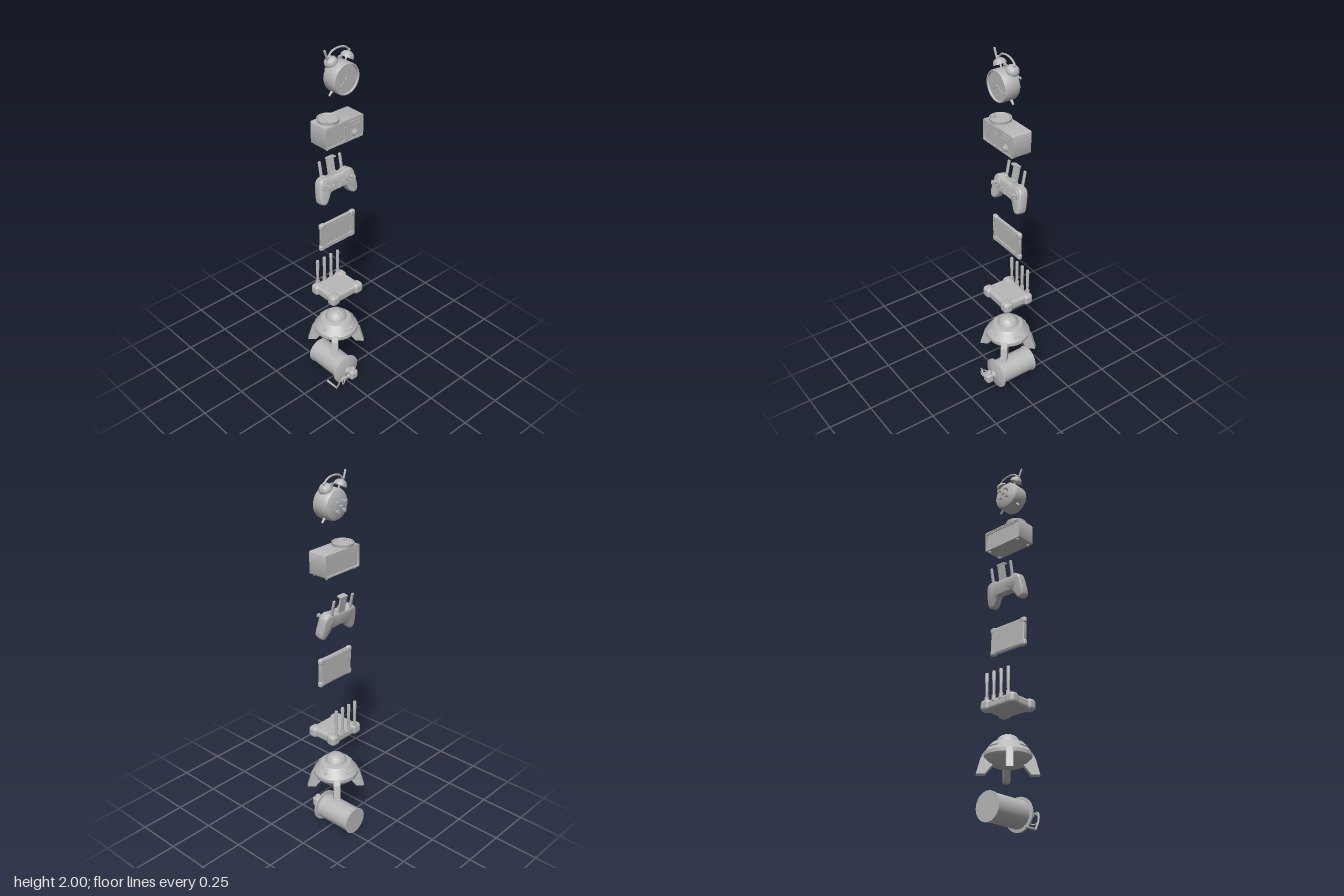
import * as THREE from 'three';
import { toCreasedNormals } from 'three/addons/utils/BufferGeometryUtils.js';
import { RoundedBoxGeometry } from 'three/addons/geometries/RoundedBoxGeometry.js';

const grey = new THREE.MeshStandardMaterial({ color: 0xb8b8b8 });
grey.name = 'plain grey';

const V = (x, y, z) => new THREE.Vector3(x, y, z);

function add(parent, name, geo, pos = [0, 0, 0], rot = [0, 0, 0]) {
  const mesh = new THREE.Mesh(geo, grey);
  mesh.name = name;
  mesh.position.set(...pos);
  mesh.rotation.set(...rot);
  parent.add(mesh);
  return mesh;
}
function group(parent, name, x, y, z) {
  const g = new THREE.Group();
  g.name = name;
  g.position.set(x, y, z);
  parent.add(g);
  return g;
}
const box = (w, h, d) => new THREE.BoxGeometry(w, h, d);
const soft = (w, h, d, r) => new RoundedBoxGeometry(w, h, d, 3, r);
const cyl = (r1, r2, h, n = 20) => new THREE.CylinderGeometry(r1, r2, h, n);
const cylZ = (r1, r2, h, n = 32) => cyl(r1, r2, h, n).rotateX(Math.PI / 2);
const lathe = (pts, n = 40, crease = 0.5) => toCreasedNormals(
  new THREE.LatheGeometry(pts.map(p => new THREE.Vector2(...p)), n), crease);
const tube = (pts, r, n = 24) => new THREE.TubeGeometry(
  new THREE.CatmullRomCurve3(pts.map(p => V(...p))), n, r, 8);
// Straight round bar between two points
function bar(parent, name, a, b, r1, r2 = r1) {
  const p = V(...a), q = V(...b), d = q.clone().sub(p);
  const m = add(parent, name, cyl(r2, r1, d.length(), 12), p.clone().add(q).multiplyScalar(0.5).toArray());
  m.quaternion.setFromUnitVectors(V(0, 1, 0), d.normalize());
}
function roundRect(w, h, r, Type = THREE.Shape) {
  const s = new Type(), x = w / 2 - r, y = h / 2 - r;
  s.absarc(x, y, r, 0, Math.PI / 2);
  s.absarc(-x, y, r, Math.PI / 2, Math.PI);
  s.absarc(-x, -y, r, Math.PI, Math.PI * 1.5);
  s.absarc(x, -y, r, Math.PI * 1.5, Math.PI * 2);
  s.closePath();
  return s;
}
// Rectangular frame with an open middle
function frame(w, h, wall, depth, r = 0.006) {
  const s = roundRect(w, h, r);
  s.holes.push(roundRect(w - 2 * wall, h - 2 * wall, r, THREE.Path));
  return toCreasedNormals(new THREE.ExtrudeGeometry(s, { depth, bevelEnabled: false, curveSegments: 4 }), 0.6);
}

function canister(root) {
  const g = group(root, 'canister', -0.004, 0.087, 0);
  add(g, 'tank', lathe([[0, -0.15], [0.074, -0.15], [0.074, -0.143], [0.07, -0.14], [0.07, 0.066],
    [0.086, 0.068], [0.086, 0.076], [0.076, 0.08], [0.05, 0.086], [0.022, 0.092], [0.018, 0.098], [0, 0.098]])
    .rotateX(Math.PI / 2));
  add(g, 'neck', cylZ(0.018, 0.022, 0.02), [0, 0, 0.1]);
  add(g, 'valveHead', soft(0.05, 0.056, 0.044, 0.012), [0.003, 0, 0.126]);
  add(g, 'valveCap', cyl(0.014, 0.018, 0.012), [0.003, 0.033, 0.126]);
  add(g, 'lever', box(0.034, 0.012, 0.006), [0, 0.012, 0.15]);
  add(g, 'outlet', cyl(0.008, 0.01, 0.02).rotateZ(Math.PI / 2), [-0.03, 0, 0.125]);
  add(g, 'hose', tube([[-0.028, 0, 0.14], [-0.055, 0.012, 0.133], [-0.08, -0.002, 0.12],
    [-0.086, -0.04, 0.11], [-0.085, -0.079, 0.09]], 0.005));
  add(g, 'pinRing', new THREE.TorusGeometry(0.026, 0.003, 8, 24), [-0.052, -0.022, 0.115], [0, 0.5, 0]);
  bar(g, 'nozzle', [-0.085, -0.079, 0.095], [-0.085, -0.079, 0.015], 0.005, 0.007);
}

function saucer(root) {
  const g = group(root, 'saucer', -0.004, 0, -0.008);
  add(g, 'hull', lathe([[0, 0.3], [0.06, 0.305], [0.09, 0.318], [0.112, 0.338], [0.12, 0.35], [0.12, 0.368],
    [0.112, 0.378], [0.095, 0.402], [0.082, 0.418], [0.06, 0.424], [0, 0.424]], 32, 0.45));
  add(g, 'dome', lathe([[0.06, 0.418], [0.058, 0.426], [0.053, 0.44], [0.041, 0.454], [0.024, 0.463], [0, 0.466]], 32, 1.2));
  // Four flat legs splayed along the diagonals
  const leg = new THREE.Shape([[0.085, 0.37], [0.075, 0.31], [0.112, 0.264], [0.153, 0.264], [0.132, 0.34], [0.116, 0.37]]
    .map(p => new THREE.Vector2(...p)));
  const legGeo = new THREE.ExtrudeGeometry(leg, { depth: 0.03, bevelEnabled: true, bevelSize: 0.002, bevelThickness: 0.003, bevelSegments: 1 });
  legGeo.translate(0, 0, -0.015);
  for (let i = 0; i < 4; i++) {
    const a = Math.PI / 4 + i * Math.PI / 2;
    add(g, 'leg', legGeo, [0, 0, 0], [0, a, 0]);
    const p = group(g, 'hatch', 0, 0, 0);
    p.rotation.y = i * Math.PI / 2;
    add(p, 'hatchPlate', box(0.05, 0.012, 0.008), [0, 0.392, 0.099], [-0.95, 0, 0]);
  }
}

function router(root) {
  const g = group(root, 'router', 0, 0.619, -0.003);
  add(g, 'case', soft(0.2, 0.054, 0.165, 0.018));
  for (const x of [-1, 1]) for (const z of [-1, 1])
    add(g, 'cornerPad', soft(0.06, 0.062, 0.055, 0.02), [x * 0.081, 0, z * 0.064]);
  for (let i = 0; i < 4; i++) {
    const x = -0.07 + i * 0.0475;
    add(g, 'antennaHinge', cyl(0.011, 0.012, 0.03), [x, 0.026, -0.077]);
    add(g, 'antenna', lathe([[0.007, 0], [0.0095, 0.135], [0.008, 0.142], [0, 0.144]], 14, 0.6), [x, 0.028, -0.077]);
  }
}

function tablet(root) {
  const g = group(root, 'tablet', -0.002, 0.995, -0.002);
  add(g, 'backShell', soft(0.222, 0.142, 0.014, 0.006), [0, 0, -0.004]);
  add(g, 'bezel', frame(0.226, 0.146, 0.02, 0.018), [0, 0, -0.008]);
  add(g, 'screenRim', frame(0.192, 0.112, 0.006, 0.004), [0, 0, 0.008]);
  for (const x of [-1, 1]) for (const y of [-1, 1])
    add(g, 'cornerBumper', soft(0.036, 0.034, 0.025, 0.011), [x * 0.102, y * 0.063, 0]);
  add(g, 'homeButton', box(0.006, 0.03, 0.003), [0.102, 0, 0.01]);
}

function controller(root) {
  const g = group(root, 'controller', 0, 1.258, -0.014);
  g.rotation.x = -0.2;
  // Mirrored outline of the two-grip body
  const half = [[0.045, 0.052], [0.08, 0.058], [0.1, 0.045], [0.108, 0.01], [0.113, -0.04],
    [0.107, -0.058], [0.092, -0.06], [0.076, -0.042], [0.058, -0.014], [0.03, -0.008]];
  const pts = [...half, ...half.map(([x, y]) => [-x, y]).reverse()].map(p => new THREE.Vector2(...p));
  const shape = new THREE.Shape(new THREE.SplineCurve([...pts, pts[0]]).getPoints(80).slice(0, 80));
  const body = new THREE.ExtrudeGeometry(shape, { depth: 0.024, bevelSize: 0.01, bevelThickness: 0.014, bevelSegments: 5 });
  add(g, 'body', toCreasedNormals(body.translate(0, 0, -0.012), 0.7));
  for (const s of [-1, 1]) {
    add(g, 'stickBase', cylZ(0.023, 0.025, 0.008), [s * 0.076, 0.026, 0.028]);
    add(g, 'stick', cylZ(0.006, 0.008, 0.025, 14), [s * 0.076, 0.026, 0.04]);
    add(g, 'stickCap', cylZ(0.012, 0.011, 0.007), [s * 0.076, 0.026, 0.055]);
    add(g, 'smallButton', cylZ(0.008, 0.009, 0.008, 20), [s * 0.034, 0.014, 0.028]);
    add(g, 'trigger', soft(0.04, 0.02, 0.02, 0.007), [s * 0.07, 0.06, -0.01]);
    add(g, 'antenna', soft(0.017, 0.09, 0.011, 0.005), [s * 0.067, 0.1, -0.018]);
  }
  add(g, 'padAcross', box(0.022, 0.007, 0.007), [0, 0.002, 0.028]);
  add(g, 'padUpright', box(0.007, 0.022, 0.007), [0, 0.002, 0.028]);
  // Folding device holder
  add(g, 'holderPlate', box(0.044, 0.105, 0.01), [0, 0.095, -0.018]);
  add(g, 'holderTopLip', box(0.048, 0.008, 0.028), [0, 0.146, -0.01]);
  add(g, 'holderLowerLip', box(0.048, 0.012, 0.02), [0, 0.062, -0.004]);
}

function oven(root) {
  const g = group(root, 'oven', -0.002, 1.58, 0);
  add(g, 'caseFrame', frame(0.24, 0.116, 0.007, 0.11), [0, 0, -0.055]);
  add(g, 'caseCore', box(0.232, 0.108, 0.095), [0, 0, 0.002]);
  add(g, 'doorFrame', frame(0.122, 0.11, 0.008, 0.008), [-0.058, 0, 0.05]);
  add(g, 'doorPane', box(0.108, 0.096, 0.006), [-0.058, 0, 0.05]);
  add(g, 'controlPanel', frame(0.112, 0.11, 0.006, 0.006), [0.062, 0, 0.05]);
  add(g, 'panelFace', box(0.102, 0.1, 0.006), [0.062, 0, 0.05]);
  add(g, 'display', frame(0.066, 0.024, 0.004, 0.005), [0.064, 0.03, 0.052]);
  add(g, 'knobRing', cylZ(0.019, 0.02, 0.004), [0.064, -0.024, 0.055]);
  add(g, 'knob', cylZ(0.013, 0.015, 0.014), [0.064, -0.024, 0.062]);
  add(g, 'knobGrip', box(0.005, 0.026, 0.006), [0.064, -0.024, 0.068]);
  add(g, 'doorHandle', soft(0.006, 0.06, 0.008, 0.002), [-0.006, 0, 0.061]);
  add(g, 'hotplate', lathe([[0, 0], [0.054, 0], [0.056, 0.016], [0.051, 0.016], [0.048, 0.008], [0, 0.008]]), [-0.056, 0.057, -0.002]);
  add(g, 'plateHandle', box(0.022, 0.008, 0.014), [-0.092, 0.07, 0.018], [0, 0.6, 0]);
  for (let i = 0; i < 16; i++) add(g, 'backVent', box(0.008, 0.008, 0.007), [-0.105 + i * 0.014, 0.047, -0.049]);
  for (const x of [-0.1, 0.1]) for (const z of [-0.04, 0.04])
    add(g, 'foot', cyl(0.009, 0.007, 0.01, 16), [x, -0.062, z]);
}

function alarmClock(root) {
  const g = group(root, 'alarmClock', 0.002, 1.852, 0);
  add(g, 'case', lathe([[0, -0.03], [0.055, -0.028], [0.072, -0.02], [0.079, -0.008], [0.079, 0.06], [0.076, 0.065],
    [0.071, 0.065], [0.069, 0.056], [0, 0.056]], 40, 0.6).rotateX(Math.PI / 2));
  // Three hands around a hub
  [[0, 0.06], [2.18, 0.05], [-2.0, 0.056]].forEach(([a, l]) =>
    add(g, 'hand', box(0.005, l, 0.003).translate(0, l / 2, 0), [0, 0, 0.059], [0, 0, a]));
  add(g, 'hub', cylZ(0.007, 0.007, 0.008, 16), [0, 0, 0.06]);
  for (const s of [-1, 1]) {
    bar(g, 'leg', [s * 0.045, -0.055, 0.015], [s * 0.068, -0.079, 0.015], 0.008, 0.005);
    bar(g, 'bellPost', [s * 0.038, 0.065, 0.008], [s * 0.053, 0.092, 0.008], 0.005);
    add(g, 'bell', lathe([[0, 0], [0.033, 0], [0.033, 0.006], [0.03, 0.016], [0.021, 0.026], [0.01, 0.031], [0, 0.032]], 28, 0.8),
      [s * 0.048, 0.078, 0.008], [0, 0, -s * 0.5]);
    add(g, 'bellKnob', new THREE.SphereGeometry(0.007, 14, 10), [s * 0.064, 0.11, 0.006]);
  }
  add(g, 'handle', tube([[-0.062, 0.108, 0.004], [-0.046, 0.127, 0.004], [-0.018, 0.137, 0.004], [0.018, 0.137, 0.004],
    [0.046, 0.127, 0.004], [0.066, 0.108, 0.004]], 0.005));
  bar(g, 'hammerRod', [0, 0.07, 0.012], [0, 0.095, 0.012], 0.003);
  add(g, 'hammer', box(0.022, 0.01, 0.01), [0.002, 0.095, 0.013]);
  bar(g, 'aerial', [-0.062, 0.07, 0.008], [-0.09, 0.147, 0.01], 0.004, 0.006);
  // Winding keys and setting knobs on the back
  [[-0.022, 0.022], [0.022, 0.022], [-0.022, -0.022], [0.022, -0.022], [0, 0]].forEach(([x, y], i) => {
    add(g, 'knobStem', cylZ(0.004, 0.004, 0.024, 10), [x, y, -0.038]);
    if (i < 2) add(g, 'windingKey', soft(0.026, 0.012, 0.006, 0.0025), [x, y, -0.052]);
    else add(g, 'settingKnob', cylZ(0.009, 0.009, 0.008, 16), [x, y, -0.048]);
  });
}

export function createModel() {
  const root = new THREE.Group();
  root.name = 'stackedGadgets';
  [canister, saucer, router, tablet, controller, oven, alarmClock].forEach(build => build(root));
  return root;
}
